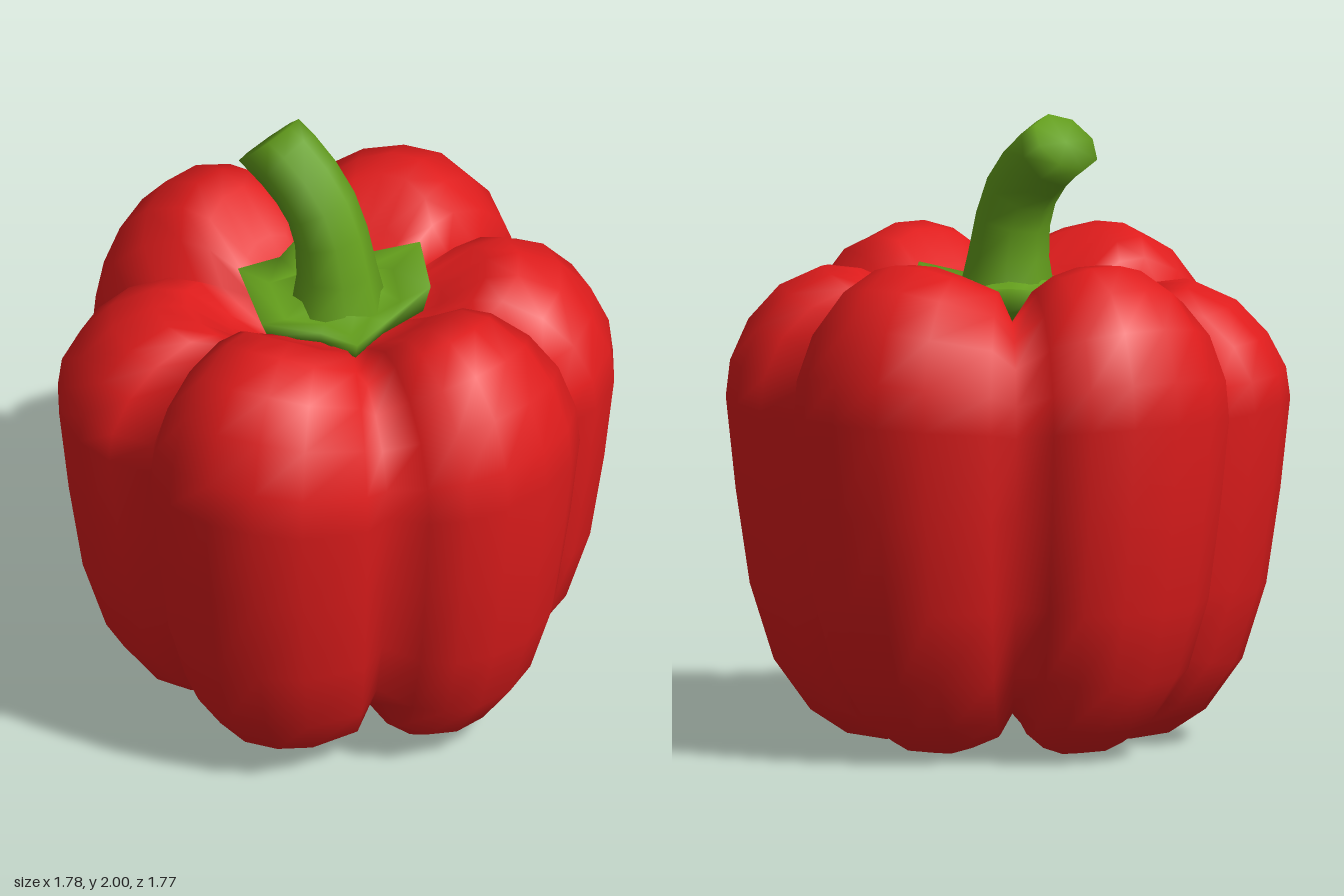
import * as THREE from 'three';
import { mergeVertices } from 'three/addons/utils/BufferGeometryUtils.js';

// Skin a stack of closed rings, listed from the underside to the top
function loft(rings) {
  const n = rings[0].length;
  const index = [];
  for (let i = 0; i < rings.length - 1; i++) {
    for (let j = 0; j < n; j++) {
      const k = (j + 1) % n;
      const a = i * n + j, b = a + n, c = i * n + k, d = c + n;
      index.push(a, b, c, c, b, d);
    }
  }
  const raw = new THREE.BufferGeometry();
  raw.setAttribute('position', new THREE.Float32BufferAttribute(rings.flat(2), 3));
  raw.setIndex(index);
  const geometry = mergeVertices(raw, 1e-4);
  geometry.computeVertexNormals();
  return geometry;
}

// Three lobes in plan [x, z], each starting in a groove; the other three are the same turned half round.
// drops: how far the crown sits below the tallest lobes, for the lobe and its turned twin
const LOBES = [
  { drops: [0, 0], plan: [[0.70, -0.26], [0.80, -0.2], [0.87, -0.06], [0.89, 0.1], [0.86, 0.26], [0.79, 0.38], [0.69, 0.45]] },
  { drops: [0, 0], plan: [[0.55, 0.48], [0.56, 0.6], [0.43, 0.77], [0.29, 0.845], [0.14, 0.885], [-0.02, 0.86], [-0.14, 0.79]] },
  { drops: [0.12, 0.07], plan: [[-0.2, 0.71], [-0.33, 0.755], [-0.46, 0.735], [-0.6, 0.65], [-0.7, 0.52], [-0.74, 0.37]] },
];

// [scale, crest height, groove height, groove pinch]
const PROFILE = [
  [0, 0.27, 0.27, 1], [0.14, 0.2, 0.25, 0.9], [0.28, 0.08, 0.2, 0.85], [0.43, 0.005, 0.15, 0.86],
  [0.57, 0.025, 0.14, 0.9], [0.7, 0.1, 0.185, 0.93], [0.83, 0.26, 0.31, 0.96], [0.915, 0.5, 0.52, 0.98],
  [0.965, 0.8, 0.8, 0.99], [1, 1.1, 1.06, 1], [0.985, 1.24, 1.16, 1], [0.92, 1.4, 1.27, 0.98],
  [0.81, 1.515, 1.34, 0.95], [0.66, 1.575, 1.38, 0.92], [0.54, 1.565, 1.38, 0.92], [0.38, 1.46, 1.36, 0.95],
  [0.24, 1.38, 1.35, 1], [0, 1.35, 1.35, 1],
];

function fruitGeometry() {
  const outline = [];
  [1, -1].forEach((sign, twin) => {
    for (const { drops, plan } of LOBES) {
      plan.forEach(([x, z], k) => {
        const crest = Math.pow(Math.sin(Math.PI * k / plan.length), 0.7);
        outline.push({ x: x * sign, z: z * sign, crest, drop: drops[twin] });
      });
    }
  });
  return loft(PROFILE.map(([scale, high, low, pinch]) => outline.map(({ x, z, crest, drop }) => {
    const s = scale * THREE.MathUtils.lerp(pinch, 1, crest);
    const sink = drop * crest * THREE.MathUtils.smoothstep(high, 1, 1.5);
    return [x * s, THREE.MathUtils.lerp(low, high, crest) - sink, z * s];
  })));
}

// Ragged star around the stem [x, z, rim height]: the tips lie in the grooves
const STAR = [
  [0.28, -0.12, 1.5], [0.24, 0.06, 1.45], [0.25, 0.23, 1.46], [0.1, 0.22, 1.44], [-0.07, 0.3, 1.45],
  [-0.3, 0.11, 1.46], [-0.24, -0.03, 1.45], [-0.25, -0.23, 1.48], [-0.02, -0.23, 1.45], [0.1, -0.31, 1.49],
];

function calyxGeometry() {
  // [scale, height, share of the rim height]
  const steps = [[0, 1.34, 0], [0.6, 1.35, 0], [0.92, 1.38, 0.2], [1, 1.4, 1], [0.68, 1.42, 0.1], [0.45, 1.46, 0], [0, 1.5, 0]];
  return loft(steps.map(([s, y, share]) =>
    STAR.map(([x, z, rim]) => [x * s, THREE.MathUtils.lerp(y, rim, share), z * s])));
}

// Curved stem, slightly flared at the base, with a slanted cut end
function stemGeometry() {
  const path = new THREE.CatmullRomCurve3([
    [0.02, 1.4], [0.005, 1.6], [-0.045, 1.745], [-0.14, 1.85], [-0.25, 1.92],
  ].map(([x, y]) => new THREE.Vector3(x, y, 0.015)));
  const sides = 8, steps = 6, rings = [];
  const addRing = (t, radius) => {
    const p = path.getPoint(t), d = path.getTangent(t);
    if (t === 1) d.set(-0.71, 0.71, 0);
    const ring = [];
    for (let j = 0; j < sides; j++) {
      const a = -j / sides * Math.PI * 2;
      const u = Math.cos(a) * radius, v = Math.sin(a) * radius;
      ring.push([p.x + d.y * u, p.y - d.x * u, p.z - v]);
    }
    rings.push(ring);
  };
  for (let i = 0; i <= steps; i++) {
    const t = i / steps;
    addRing(t, 0.114 + 0.04 * Math.pow(1 - t, 6));
  }
  addRing(1, 0);
  return loft(rings);
}

export function createModel() {
  const red = new THREE.MeshStandardMaterial({ color: 0xdf1c1c });
  red.name = 'pepper red';
  const green = new THREE.MeshStandardMaterial({ color: 0x649f1c });
  green.name = 'stem green';

  const group = new THREE.Group();
  group.name = 'bellPepper';
  const add = (name, geometry, material) => {
    const mesh = new THREE.Mesh(geometry, material);
    mesh.name = name;
    group.add(mesh);
  };
  add('fruit', fruitGeometry(), red);
  add('calyx', calyxGeometry(), green);
  add('stem', stemGeometry(), green);
  return group;
}
